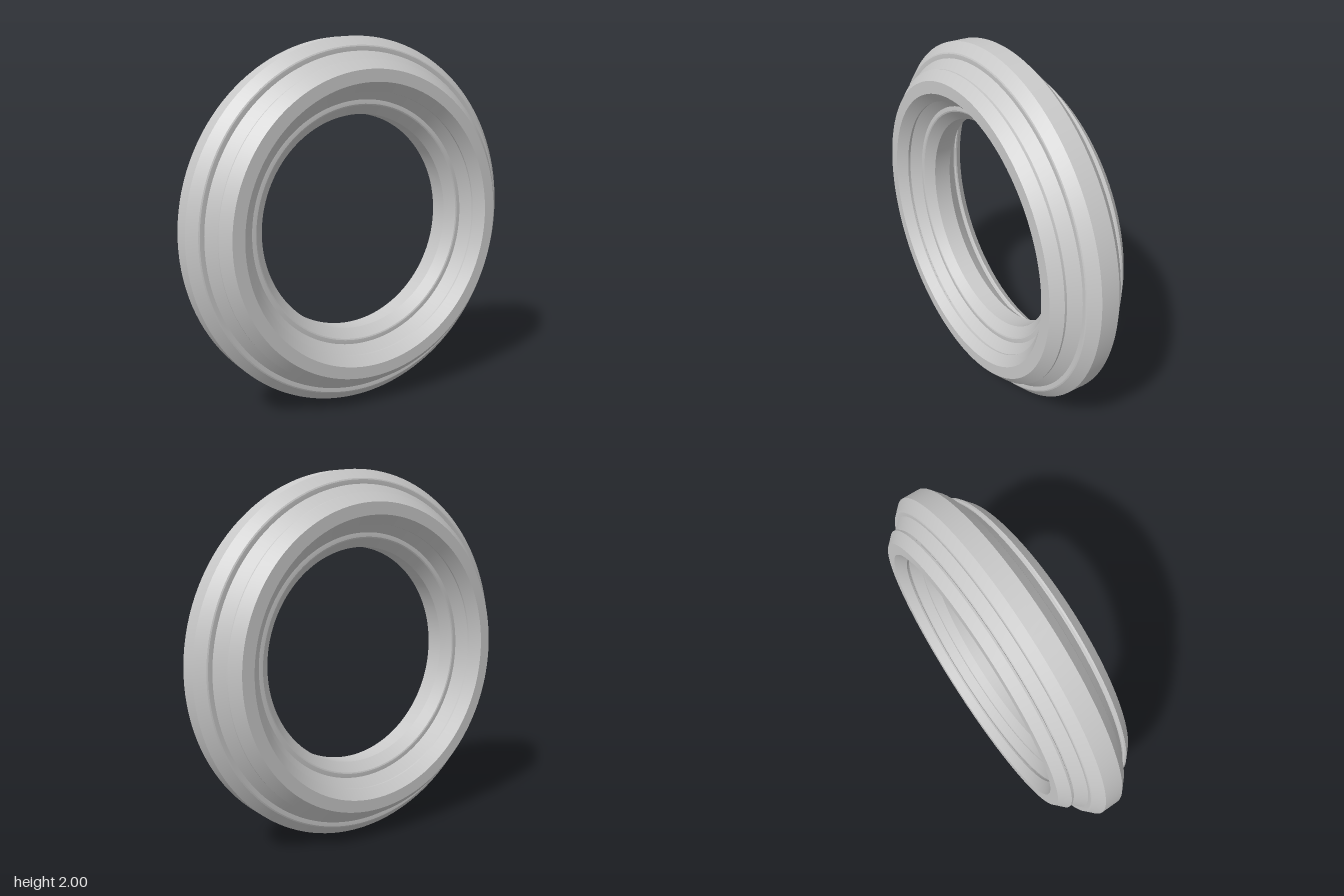
import * as THREE from 'three';
import { toCreasedNormals } from 'three/addons/utils/BufferGeometryUtils.js';

const MID = 0.797; // radius of the middle of the ring's section

export function createModel() {
  const group = new THREE.Group();
  group.name = 'ring';
  const grey = new THREE.MeshStandardMaterial({ color: 0xc8c8c8 });
  grey.name = 'light grey';

  // One quarter of the stepped section: [radius, z], from outer rim to front face
  const quarter = [
    [1, 0.05], [0.952, 0.098], [0.945, 0.101], [0.935, 0.101], [0.922, 0.1],
    [0.87, 0.15], [0.87, 0.156], [0.879, 0.16], [0.88, 0.17], [0.83, 0.22],
  ];
  const inner = quarter.map(([r, z]) => [2 * MID - r, z]).reverse();
  const front = [...quarter, ...inner];
  const back = front.map(([r, z]) => [r, -z]).reverse();
  const section = [...front, ...back, front[0]].map(([r, z]) => new THREE.Vector2(r, z));

  // Sweep the section around, keeping its steps sharp
  const geometry = toCreasedNormals(new THREE.LatheGeometry(section, 128), 0.25);
  geometry.rotateX(Math.PI / 2);
  const ring = new THREE.Mesh(geometry, grey);
  ring.name = 'steppedRing';
  ring.position.y = 1;
  group.add(ring);
  return group;
}
